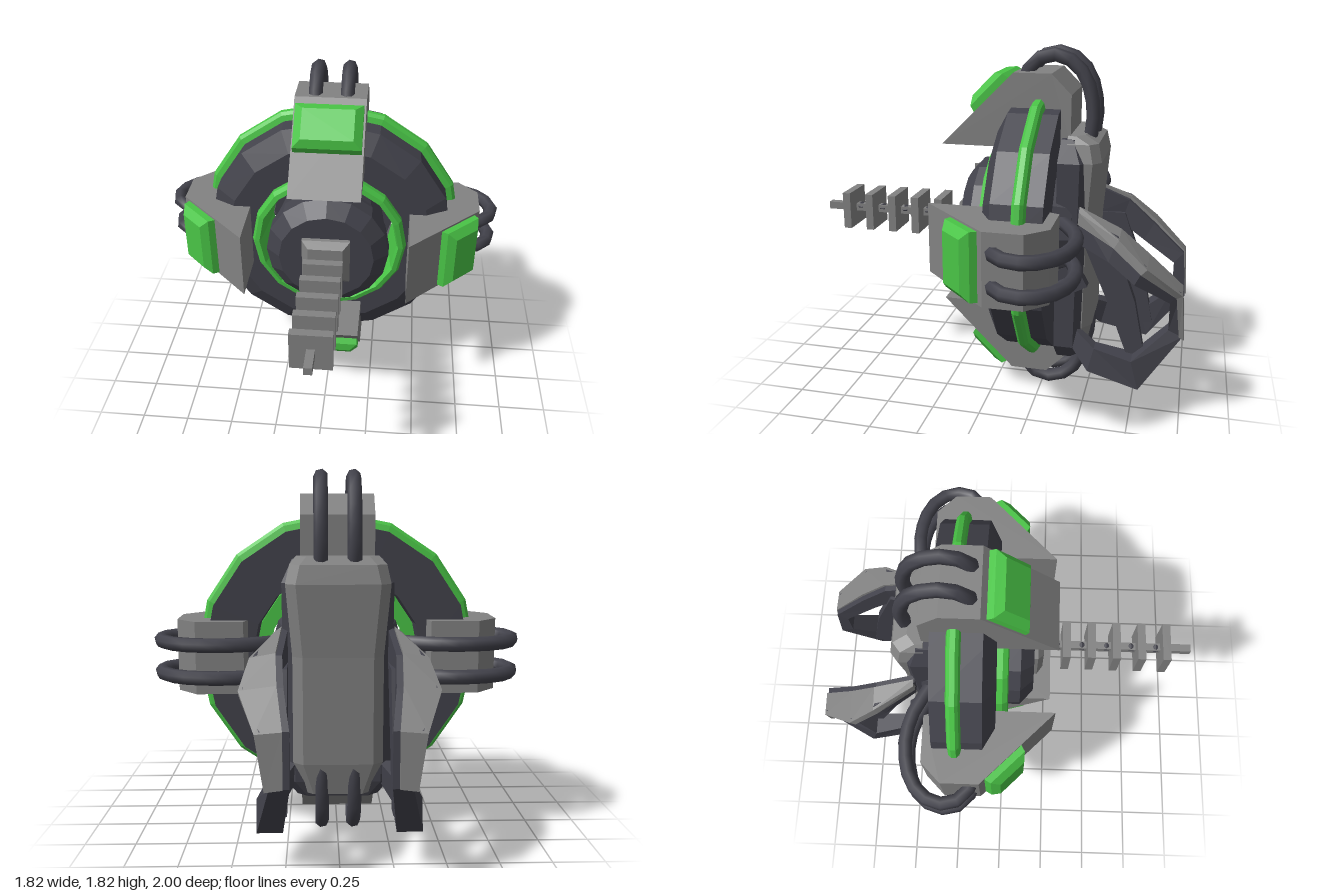
import * as THREE from 'three';

const dark = new THREE.MeshStandardMaterial({ color: 0x42424b });
dark.name = 'darkMetal';
const grey = new THREE.MeshStandardMaterial({ color: 0x828282 });
grey.name = 'greyMetal';
const green = new THREE.MeshStandardMaterial({ color: 0x49c446 });
green.name = 'green';

const CY = 0.925; // height of the central axis

// facet every face so the low-poly edges stay crisp
function flat(geo) {
  const g = geo.index ? geo.toNonIndexed() : geo;
  g.computeVertexNormals();
  return g;
}

function add(parent, name, geo, mat, x = 0, y = 0, z = 0) {
  const m = new THREE.Mesh(geo, mat);
  m.name = name;
  m.position.set(x, y, z);
  parent.add(m);
  return m;
}

// closed skin through equal-length point loops, turned outward by its volume
function loft(sections) {
  const n = sections[0].length;
  const tris = [];
  for (let i = 0; i + 1 < sections.length; i++) {
    for (let j = 0; j < n; j++) {
      const k = (j + 1) % n;
      const [a, b] = [sections[i], sections[i + 1]];
      tris.push([a[j], a[k], b[k]], [a[j], b[k], b[j]]);
    }
  }
  const s = sections[0], e = sections[sections.length - 1];
  for (let j = 1; j + 1 < n; j++) tris.push([s[0], s[j + 1], s[j]], [e[0], e[j], e[j + 1]]);
  const v = p => new THREE.Vector3(...p);
  const volume = tris.reduce((t, [a, b, c]) => t + v(a).dot(v(b).cross(v(c))), 0);
  const pos = tris.flatMap(t => (volume < 0 ? [t[0], t[2], t[1]] : t)).flat();
  const g = new THREE.BufferGeometry();
  g.setAttribute('position', new THREE.Float32BufferAttribute(pos, 3));
  g.computeVertexNormals();
  return g;
}

// block from rectangles [halfX, halfZ, y] stacked along y
const stack = rects => loft(rects.map(([x, z, y]) => [[-x, y, -z], [x, y, -z], [x, y, z], [-x, y, z]]));

// profile of [radius, z] turned about the z axis
function turned(points, sides = 16) {
  const g = new THREE.LatheGeometry(points.map(p => new THREE.Vector2(...p)), sides);
  return flat(g.rotateX(Math.PI / 2));
}

// profile of [z, y] extruded across x
function sideways(points, width) {
  const shape = new THREE.Shape(points.map(p => new THREE.Vector2(...p)));
  const g = new THREE.ExtrudeGeometry(shape, { depth: width, bevelEnabled: false });
  return flat(g.translate(0, 0, -width / 2).rotateY(-Math.PI / 2));
}

// wedge clamp with a bevelled pad and two cables, built at the top of the ring
function makeClamp() {
  const g = new THREE.Group();
  g.name = 'clamp';
  add(g, 'clampBlock', sideways([[0.27, 0.425], [-0.1, 0.795], [-0.29, 0.795], [-0.39, 0.695],
    [-0.39, 0.46], [-0.3, 0.425]], 0.36), grey);
  const pad = add(g, 'clampPad', stack([[0.17, 0.125, 0], [0.17, 0.115, 0.035], [0.13, 0.08, 0.068]]),
    green, 0, 0.68, 0.015);
  pad.rotation.x = Math.PI / 4;
  for (const x of [-0.08, 0.08]) {
    const path = new THREE.CatmullRomCurve3([[0.73, -0.13], [0.84, -0.18], [0.875, -0.31], [0.79, -0.43],
      [0.6, -0.485], [0.43, -0.46], [0.28, -0.38]].map(([r, z]) => new THREE.Vector3(x, r, z)));
    add(g, 'cable', new THREE.TubeGeometry(path, 12, 0.036, 7), dark);
  }
  return g;
}

// hooked rear claw on side s: rows of outer [z, y], inner [z, y], x range
function makeClaw(s) {
  const g = new THREE.Group();
  g.name = 'claw';
  const rows = [
    [[-0.45, 1.08], [-0.46, 0.9], 0.24, 0.30],
    [[-0.66, 0.99], [-0.62, 0.86], 0.26, 0.41],
    [[-0.8, 0.87], [-0.75, 0.77], 0.25, 0.45],
    [[-0.97, 0.72], [-0.92, 0.66], 0.22, 0.37],
    [[-0.99, 0.47], [-0.92, 0.5], 0.22, 0.33],
    [[-0.79, 0.19], [-0.75, 0.34], 0.26, 0.40],
    [[-0.53, 0.24], [-0.56, 0.37], 0.26, 0.36],
    [[-0.44, 0.32], [-0.46, 0.42], 0.2, 0.28]];
  add(g, 'clawHook', loft(rows.map(([o, i, a, b]) => [
    [s * a, o[1], o[0]], [s * (b - 0.02), o[1], o[0]], [s * (b - 0.02), i[1], i[0]], [s * a, i[1], i[0]]])), dark);
  // grey cover over the outer edge of the upper arm
  add(g, 'clawCover', loft(rows.slice(0, 5).map(([o, i, a, b], k) => {
    const t = k === 4 ? 0.25 : 0.4;
    const z = o[0] + (i[0] - o[0]) * t, y = o[1] + (i[1] - o[1]) * t;
    const up = k < 3 ? 0.012 : 0;
    return [[s * (a + 0.03), o[1] + up, o[0] - 0.008], [s * b, o[1] - 0.01, o[0] - 0.008],
      [s * b, y, z], [s * (a + 0.03), y, z]];
  })), grey);
  // blade bracing the hook from inside
  add(g, 'clawBrace', loft([[-0.56, 0.92, 0.08], [-0.68, 0.62, 0.07], [-0.78, 0.28, 0.04]].map(([z, y, w]) => [
    [s * 0.24, y, z - w], [s * 0.29, y, z - w], [s * 0.29, y, z + w], [s * 0.24, y, z + w]])), dark);
  // short link to the ring
  const link = add(g, 'clawLink', flat(new THREE.BoxGeometry(0.06, 0.07, 0.2)), dark, s * 0.3, 0.68, -0.41);
  link.rotation.x = 0.5;
  return g;
}

export function createModel() {
  const model = new THREE.Group();
  model.name = 'ringDevice';
  const core = new THREE.Group();
  core.name = 'core';
  core.position.y = CY;
  model.add(core);

  // main ring with its green bands
  add(core, 'mainRing', turned([[0.42, -0.34], [0.66, -0.34], [0.66, -0.09], [0.55, -0.03],
    [0.4, -0.03], [0.42, -0.34]]), dark);
  add(core, 'outerBand', turned([[0.65, -0.265], [0.69, -0.255], [0.705, -0.24], [0.705, -0.215],
    [0.69, -0.2], [0.65, -0.19]]), green);
  add(core, 'innerCollar', turned([[0.34, -0.27], [0.41, -0.27], [0.415, 0.0], [0.4, 0.025],
    [0.375, 0.03], [0.365, 0.0], [0.34, -0.27]]), green);

  // central hub and its rear mount
  add(core, 'hub', turned([[0, -0.3], [0.28, -0.3], [0.31, -0.05], [0.325, 0], [0.325, 0.09],
    [0.25, 0.158], [0, 0.158]]), dark);
  add(core, 'rearMount', turned([[0, -0.42], [0.3, -0.42], [0.34, -0.29], [0, -0.29]], 12), dark);

  // ribbed spike
  const base = add(core, 'spikeBase', stack([[0.125, 0.125, 0], [0.125, 0.125, 0.03], [0.09, 0.09, 0.06]]),
    grey, 0, 0, 0.15);
  base.rotation.x = Math.PI / 2;
  add(core, 'spikeRod', flat(new THREE.BoxGeometry(0.04, 0.04, 0.85)), grey, 0, 0, 0.575);
  for (let i = 0; i < 5; i++) {
    const z = 0.33 + i * 0.132;
    add(core, 'spikePlate', flat(new THREE.BoxGeometry(0.2, 0.2, 0.042)), grey, 0, 0, z);
    add(core, 'spikeKnot', flat(new THREE.IcosahedronGeometry(0.026, 0)), dark, 0, 0.003, z - 0.045);
  }

  // four clamps around the ring
  for (let i = 0; i < 4; i++) {
    const clamp = makeClamp();
    clamp.rotation.z = i * Math.PI / 2;
    core.add(clamp);
  }

  // back pack: dark frame under a bent grey cover
  const slab = rows => loft(rows.map(([y, w, z0, z1]) => [
    [-w, y, z0], [w, y, z0], [w, y, z1 + 0.04], [w - 0.05, y, z1], [0.05 - w, y, z1], [-w, y, z1 + 0.04]]));
  add(model, 'backFrame', slab([[0.24, 0.2, -0.35, -0.46], [0.32, 0.26, -0.34, -0.48],
    [1.3, 0.27, -0.34, -0.49], [1.41, 0.22, -0.35, -0.45]]), dark);
  add(model, 'backCover', slab([[0.26, 0.17, -0.4, -0.49], [0.42, 0.22, -0.4, -0.52],
    [0.95, 0.22, -0.4, -0.525], [1.3, 0.25, -0.38, -0.55], [1.39, 0.23, -0.38, -0.53],
    [1.425, 0.2, -0.38, -0.46]]), grey);

  // rear claws
  for (const s of [-1, 1]) model.add(makeClaw(s));
  return model;
}
